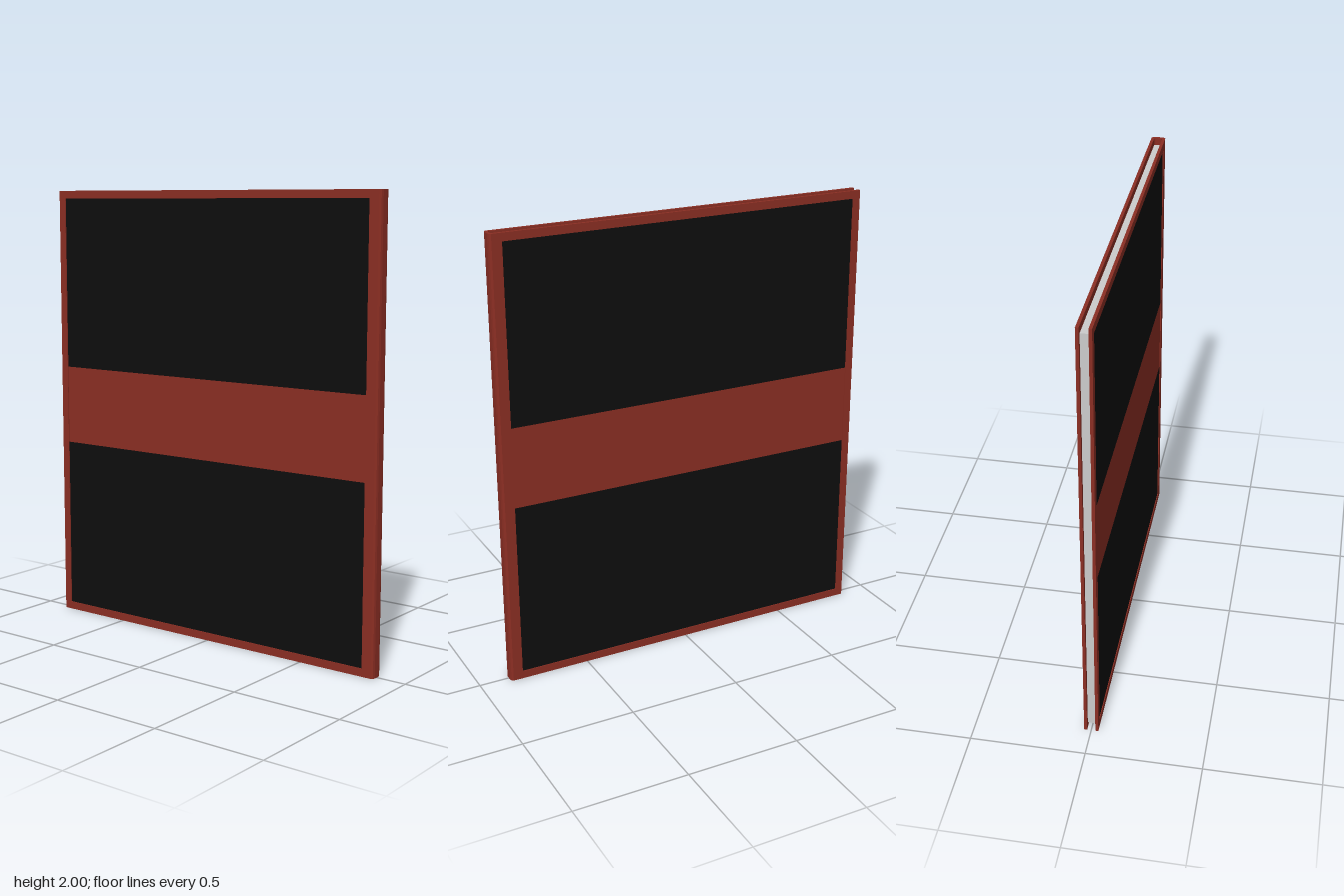
import * as THREE from 'three';

const red = new THREE.MeshStandardMaterial({ color: 0x8b2e23 });
const black = new THREE.MeshStandardMaterial({ color: 0x0d0d0d });
const grey = new THREE.MeshStandardMaterial({ color: 0xcccccc });

const H = 2, X0 = -0.865, X1 = 0.865;      // height and outer side edges
const Z_IN = 0.018, Z_PANEL = 0.027, Z_OUT = 0.031; // cover depth levels
const PX0 = -0.83, PX1 = 0.81;             // sides of the recessed panels
const BEND = 0.845;                        // where cover meets spine

function block(name, material, x0, x1, y0, y1, z0, z1) {
  const mesh = new THREE.Mesh(new THREE.BoxGeometry(x1 - x0, y1 - y0, z1 - z0), material);
  mesh.position.set((x0 + x1) / 2, (y0 + y1) / 2, (z0 + z1) / 2);
  mesh.name = name;
  return mesh;
}

function rectangle(PathType, x0, x1, y0, y1) {
  return new PathType([[x0, y0], [x1, y0], [x1, y1], [x0, y1]].map(p => new THREE.Vector2(...p)));
}

// One board: raised frame around two dark panels and a middle band
function createCover(name, side) {
  const cover = new THREE.Group();
  cover.name = name;
  const outline = rectangle(THREE.Shape, X0, BEND, 0, H);
  outline.holes.push(rectangle(THREE.Path, PX0, PX1, 0.035, 1.965));
  const frame = new THREE.Mesh(
    new THREE.ExtrudeGeometry(outline, { depth: Z_OUT - Z_IN, bevelEnabled: false }), red);
  frame.name = 'coverFrame';
  frame.position.z = side > 0 ? Z_IN : -Z_OUT;
  cover.add(frame);
  const [z0, z1] = side > 0 ? [Z_IN, Z_PANEL] : [-Z_PANEL, -Z_IN];
  cover.add(
    block('lowerPanel', black, PX0, PX1, 0.035, 0.82, z0, z1),
    block('middleBand', red, PX0, PX1, 0.82, 1.18, z0, z1),
    block('upperPanel', black, PX0, PX1, 1.18, 1.965, z0, z1));
  return cover;
}

// Spine: a bevelled channel section run up the full height
function createSpine() {
  const half = [[BEND, Z_IN], [BEND, Z_OUT], [0.854, Z_OUT], [0.862, 0.025], [X1, 0.015]];
  const inner = [[0.852, 0.010], [0.850, 0.015]];
  const mirror = pts => pts.map(([x, z]) => [x, -z]).reverse();
  const points = [...half, ...mirror(half), ...mirror(inner), ...inner];
  const shape = new THREE.Shape(points.map(p => new THREE.Vector2(...p)));
  const geometry = new THREE.ExtrudeGeometry(shape, { depth: H, bevelEnabled: false });
  geometry.rotateX(-Math.PI / 2);
  const spine = new THREE.Mesh(geometry, red);
  spine.name = 'spine';
  return spine;
}

export function createModel() {
  const model = new THREE.Group();
  model.name = 'book';
  model.add(
    createCover('frontCover', 1),
    createCover('backCover', -1),
    createSpine(),
    // Pages sit slightly inside the cover edges
    block('pages', grey, -0.85, 0.846, 0.03, 1.97, -0.0175, 0.0175));
  return model;
}
